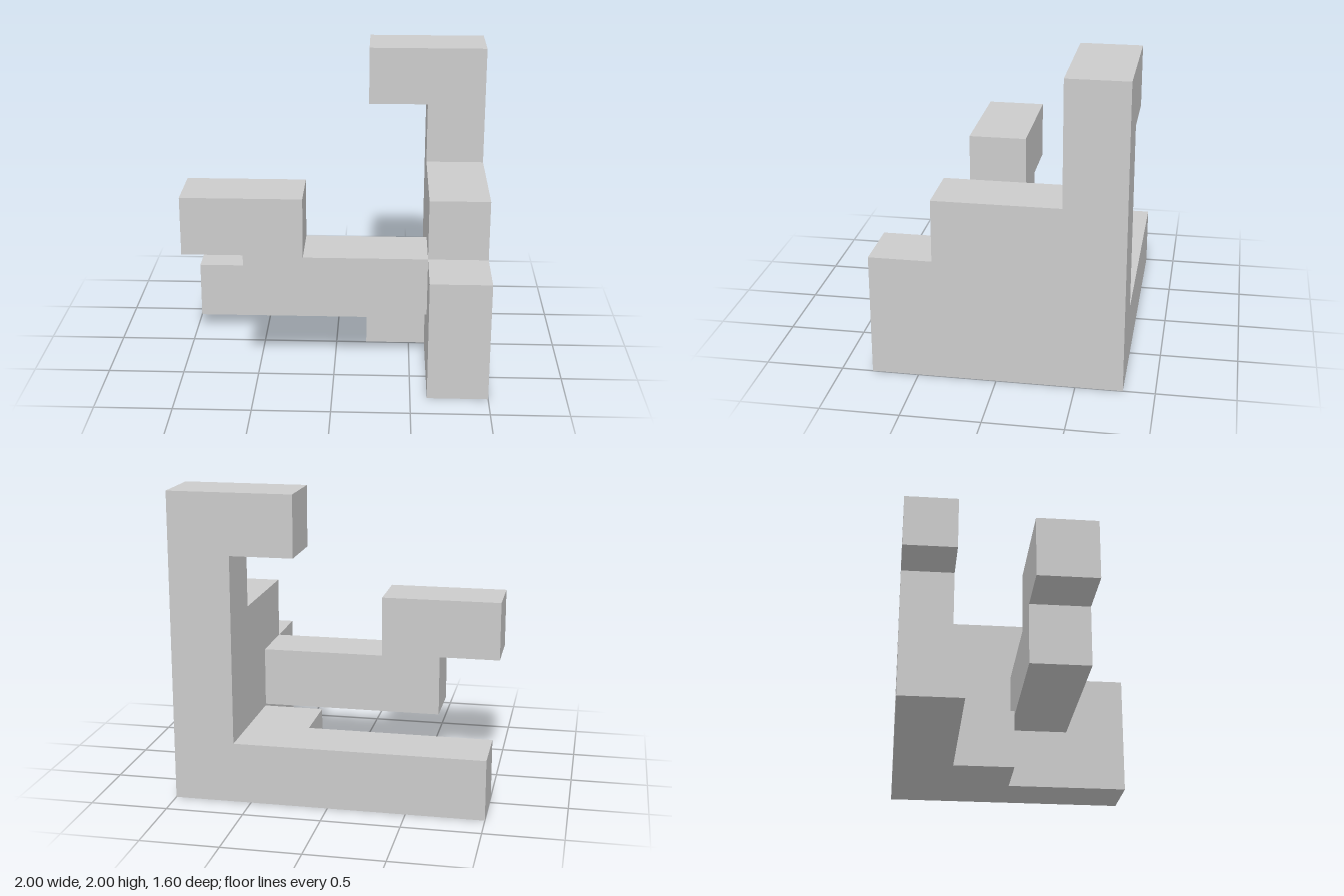
import * as THREE from 'three';

// Interlocking block piece on a cubic grid, faces inset slightly for clearance.
const CELL = 0.402, GAP = 0.01;
const X0 = -1, Z0 = -0.799;
const lo = (k) => k * CELL;                 // lower face of cell k
const hi = (k) => (k + 1) * CELL - GAP;     // upper face of cell k

const material = new THREE.MeshStandardMaterial({ color: 0xcccccc, flatShading: true });

function addMesh(group, name, geometry) {
  const mesh = new THREE.Mesh(geometry, material);
  mesh.name = name;
  group.add(mesh);
  return mesh;
}

function prism(points, depth) {
  const shape = new THREE.Shape(points.map(([a, b]) => new THREE.Vector2(a, b)));
  return new THREE.ExtrudeGeometry(shape, { depth, bevelEnabled: false });
}

export function createModel() {
  const group = new THREE.Group();
  group.name = 'puzzlePiece';
  const wall = X0 + lo(4), right = X0 + hi(4);
  const backFront = Z0 + hi(0);

  // Back layer: long foot, column and top hook in one C-shaped outline
  const back = prism([
    [X0, 0], [right, 0], [right, hi(4)], [X0 + lo(3), hi(4)],
    [X0 + lo(3), lo(4)], [wall, lo(4)], [wall, hi(0)], [X0, hi(0)],
  ], hi(0));
  addMesh(group, 'backFrame', back).position.z = Z0;

  // Stepped side wall, outlined in (-z, y) and extruded along x
  const side = prism([
    [-(Z0 + hi(3)), 0], [-backFront, 0], [-backFront, hi(2)],
    [-(Z0 + hi(2)), hi(2)], [-(Z0 + hi(2)), hi(1)], [-(Z0 + hi(3)), hi(1)],
  ], hi(0));
  side.rotateY(Math.PI / 2);
  addMesh(group, 'steppedWall', side).position.x = wall;

  // Front arm with raised end
  const arm = prism([
    [X0 + lo(1), lo(1)], [wall, lo(1)], [wall, hi(1)], [X0 + hi(1), hi(1)],
    [X0 + hi(1), hi(2)], [X0, hi(2)], [X0, lo(2)], [X0 + lo(1), lo(2)],
  ], hi(0));
  addMesh(group, 'raisedArm', arm).position.z = Z0 + lo(2);

  // Block filling the inner corner of the foot and the wall
  const width = CELL, depth = CELL;
  addMesh(group, 'cornerBlock', new THREE.BoxGeometry(width, hi(0), depth))
    .position.set(wall - width / 2, hi(0) / 2, backFront + depth / 2);

  return group;
}
